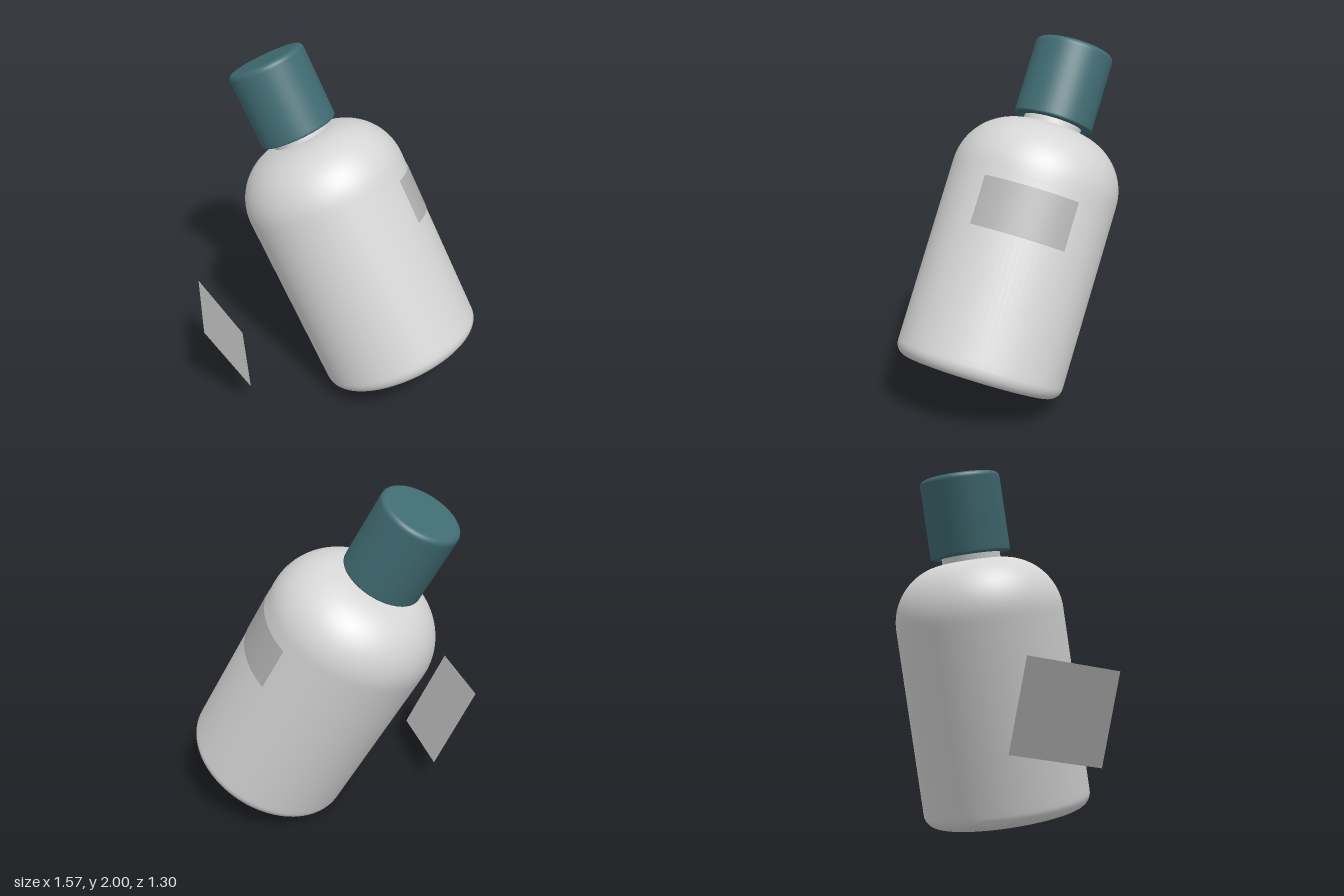
import * as THREE from 'three';

const mat = (name, color, side = THREE.FrontSide) => {
  const m = new THREE.MeshStandardMaterial({ color, side });
  m.name = name;
  return m;
};

// Points of an arc in a lathe profile, angles in degrees
function arc(cx, cy, r, from, to, steps) {
  const pts = [];
  for (let i = 0; i <= steps; i++) {
    const a = THREE.MathUtils.degToRad(from + ((to - from) * i) / steps);
    pts.push(new THREE.Vector2(cx + r * Math.cos(a), cy + r * Math.sin(a)));
  }
  return pts;
}

export function createModel() {
  const bodyGrey = mat('pale grey', 0xd6d6d6);
  const capTeal = mat('dark teal', 0x406c73);
  const labelGrey = mat('label grey', 0xb2b2b2, THREE.DoubleSide);
  const model = new THREE.Group();
  model.name = 'bottleWithLabels';

  const add = (parent, name, geometry, material) => {
    const mesh = new THREE.Mesh(geometry, material);
    mesh.name = name;
    parent.add(mesh);
    return mesh;
  };
  const v = (x, y) => new THREE.Vector2(x, y);

  // Tilted bottle, built upright along its own axis
  const bottle = new THREE.Group();
  bottle.name = 'bottle';
  const axis = new THREE.Vector3(-0.468, 0.883, -0.0415).normalize();
  bottle.quaternion.setFromUnitVectors(new THREE.Vector3(0, 1, 0), axis);
  bottle.position.set(0.388, 0.197, -0.133);
  model.add(bottle);

  // Body: rounded base, straight wall, round shoulder
  const R = 0.476;
  add(bottle, 'body', new THREE.LatheGeometry([
    v(0, 0), v(0.39, 0),
    ...arc(R - 0.075, 0.075, 0.075, -90, 0, 10),
    v(R, 0.1), v(R, 1.1),
    ...arc(R - 0.331, 1.124, 0.331, 0, 87, 20),
  ], 96), bodyGrey);

  // Neck
  const neck = add(bottle, 'neck', new THREE.CylinderGeometry(0.166, 0.166, 0.1, 64), bodyGrey);
  neck.position.y = 1.47;

  // Cap with softened rims
  const c = 0.226, bottom = 1.487, top = 1.934;
  add(bottle, 'cap', new THREE.LatheGeometry([
    v(0, bottom), v(c - 0.014, bottom),
    ...arc(c - 0.01, bottom + 0.01, 0.01, -90, 0, 4),
    v(c, bottom + 0.015), v(c, top - 0.035),
    ...arc(c - 0.03, top - 0.03, 0.03, 0, 90, 8),
    v(c - 0.035, top), v(0, top),
  ], 72), capTeal);

  // Curved label wrapped on the body
  const rad = THREE.MathUtils.degToRad;
  const label = add(bottle, 'bodyLabel',
    new THREE.CylinderGeometry(R + 0.003, R + 0.003, 0.27, 32, 1, true, rad(86), rad(65)), labelGrey);
  label.position.y = 0.915;

  // Flat square label standing apart beside the bottle
  const across = new THREE.Vector3(0.264, -0.011, 0.418).normalize();
  const up = new THREE.Vector3(-0.2, 0.43, 0.137).normalize();
  const normal = new THREE.Vector3().crossVectors(across, up).normalize();
  const panel = add(model, 'loosePanel', new THREE.PlaneGeometry(0.494, 0.494), labelGrey);
  panel.quaternion.setFromRotationMatrix(new THREE.Matrix4().makeBasis(across, up, normal));
  panel.position.set(-0.553, 0.406, 0.371);

  return model;
}
